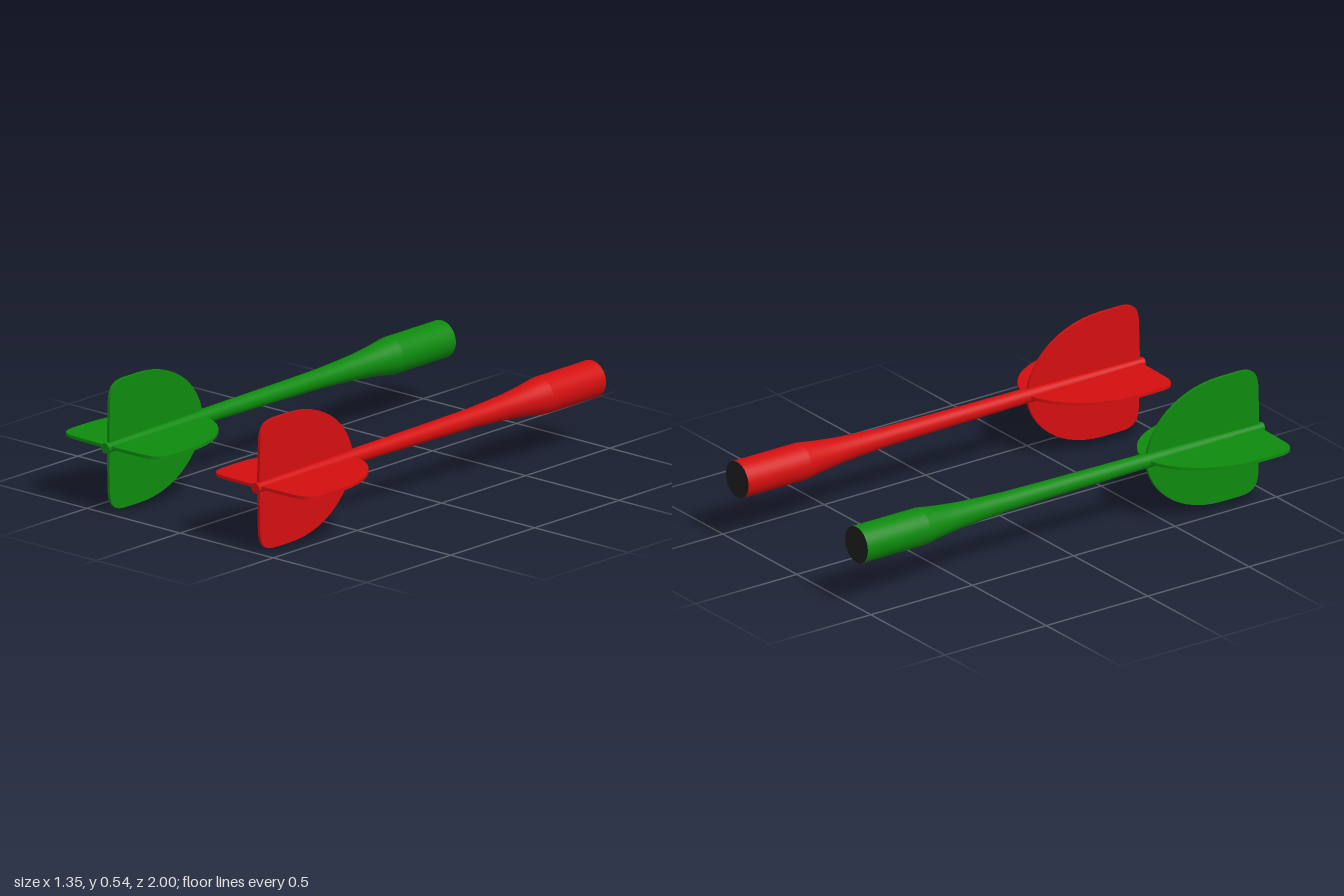
import * as THREE from 'three';

const AXIS_Y = 0.272, AXIS_X = 0.403, FIN = 0.27, FIN_THICK = 0.013;

// Lathe along z from [radius, z] pairs
function turned(points) {
  return new THREE.LatheGeometry(points.map(([r, z]) => new THREE.Vector2(r, z)), 32).rotateX(Math.PI / 2);
}

// Flat flight vane lying in the xz plane, spanning both sides of the shaft
function vaneGeometry() {
  const s = new THREE.Shape();
  s.moveTo(0, 0.425);
  s.bezierCurveTo(0.13, 0.435, FIN, 0.57, FIN, 0.8);
  s.lineTo(FIN, 0.88);
  s.bezierCurveTo(FIN, 0.95, 0.25, 0.975, 0.18, 0.977);
  s.lineTo(0, 0.982);
  s.lineTo(-0.18, 0.977);
  s.bezierCurveTo(-0.25, 0.975, -FIN, 0.95, -FIN, 0.88);
  s.lineTo(-FIN, 0.8);
  s.bezierCurveTo(-FIN, 0.57, -0.13, 0.435, 0, 0.425);
  return new THREE.ExtrudeGeometry(s, { depth: FIN_THICK, bevelEnabled: false, curveSegments: 14 })
    .translate(0, 0, -FIN_THICK / 2)
    .rotateX(Math.PI / 2);
}

function createDart(name, body, tip) {
  const dart = new THREE.Group();
  dart.name = name;
  const add = (part, geometry, material) => {
    const mesh = new THREE.Mesh(geometry, material);
    mesh.name = part;
    dart.add(mesh);
    return mesh;
  };

  // Thick barrel flowing into the thin tapering shaft
  add('barrel', turned([[0.077, -1], [0.077, -0.69]]), body);
  add('shaft', turned([[0.077, -0.69], [0.064, -0.6], [0.053, -0.5], [0.046, -0.39],
    [0.04, -0.27], [0.037, -0.1], [0.035, 0.05], [0.031, 0.4], [0.021, 1]]), body);
  add('tailCap', new THREE.CircleGeometry(0.021, 32), body).position.z = 1;

  // Dark disc closing the barrel
  const disc = add('tipDisc', new THREE.CircleGeometry(0.077, 32), tip);
  disc.rotation.y = Math.PI;
  disc.position.z = -1;

  // Two crossed vanes make the four flights
  add('horizontalFlight', vaneGeometry(), body);
  add('verticalFlight', vaneGeometry(), body).rotation.z = Math.PI / 2;
  return dart;
}

export function createModel() {
  const red = new THREE.MeshStandardMaterial({ color: 0xd40f0f });
  red.name = 'red';
  const green = new THREE.MeshStandardMaterial({ color: 0x0e8a0e });
  green.name = 'green';
  const black = new THREE.MeshStandardMaterial({ color: 0x1e1e1e });
  black.name = 'black';

  const model = new THREE.Group();
  model.name = 'darts';
  const left = createDart('redDart', red, black);
  left.position.set(AXIS_X, AXIS_Y, 0);
  const right = createDart('greenDart', green, black);
  right.position.set(-AXIS_X, AXIS_Y, 0);
  model.add(left, right);
  return model;
}
